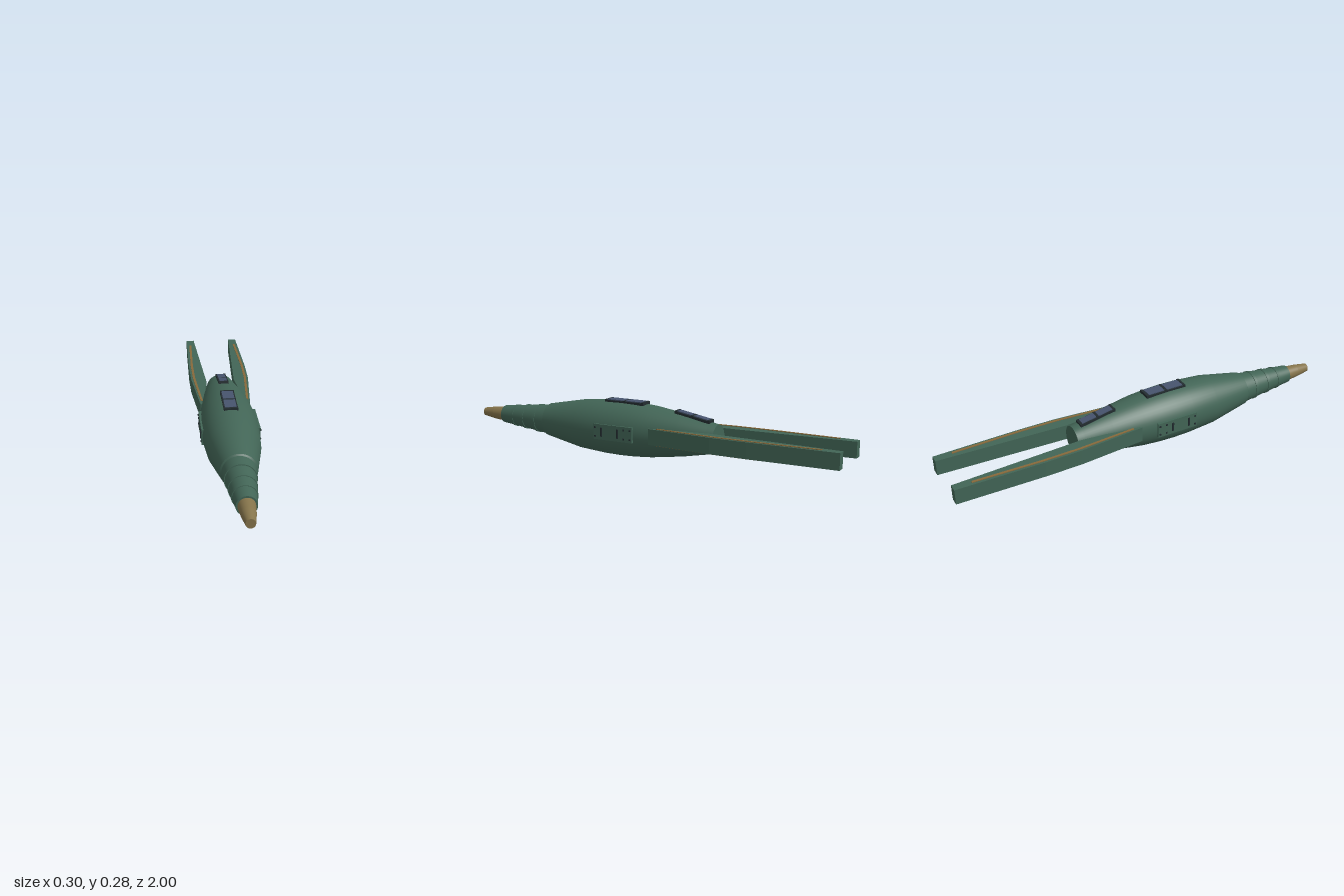
import * as THREE from 'three';

const AXIS = 0.136; // height of the hull's long axis

const mat = (name, color, extra) => {
  const m = new THREE.MeshStandardMaterial({ color });
  m.name = name;
  return m;
};

export function createModel() {
  const model = new THREE.Group();
  model.name = 'spacecraft';
  const green = mat('hull green', 0x426556);
  const brass = mat('nose brass', 0x85744b);
  const bronze = mat('stripe bronze', 0x866a3c);
  const dark = mat('frame dark', 0x232d30);
  const blue = mat('window blue', 0x47546e);

  const add = (name, geometry, material, parent = model) => {
    const mesh = new THREE.Mesh(geometry, material);
    mesh.name = name;
    parent.add(mesh);
    return mesh;
  };
  const box = (name, size, pos, material, parent) => {
    const mesh = add(name, new THREE.BoxGeometry(...size), material, parent);
    mesh.position.set(...pos);
    return mesh;
  };

  // Revolved part from [z, radius] pairs; every corner is doubled when sharp
  const revolve = (name, profile, material, sharp) => {
    const pts = [];
    for (const [z, r] of profile) {
      pts.push(new THREE.Vector2(r, z));
      if (sharp) pts.push(new THREE.Vector2(r, z));
    }
    const geo = new THREE.LatheGeometry(pts, 48).rotateX(Math.PI / 2);
    add(name, geo, material).position.y = AXIS;
  };

  // Main hull, with a flat stern
  revolve('hull', [[-0.34, 0.075], [-0.2, 0.102], [-0.04, 0.125], [0.05, 0.132],
    [0.13, 0.1345], [0.22, 0.133], [0.36, 0.123], [0.57, 0.083]], green, false);
  revolve('stern', [[-0.375, 0], [-0.375, 0.069], [-0.34, 0.075]], green, true);

  // Stepped neck: each collar starts with a small ledge
  revolve('neck', [[0.57, 0.083], [0.575, 0.076], [0.63, 0.07], [0.63, 0.073],
    [0.645, 0.072], [0.645, 0.068], [0.71, 0.061], [0.71, 0.064], [0.725, 0.063],
    [0.725, 0.06], [0.78, 0.054], [0.78, 0.057], [0.795, 0.055], [0.795, 0.052],
    [0.865, 0.045], [0.865, 0]], green, true);
  revolve('nose', [[0.86, 0.038], [0.93, 0.032], [1, 0.021], [1, 0]], brass, true);

  // Dark-framed window pairs on the spine
  const spineWindow = (name, z, top, tilt, width, length) => {
    const g = new THREE.Group();
    g.name = name;
    g.position.set(0, top, z);
    g.rotation.x = tilt;
    model.add(g);
    box('windowFrame', [width, 0.012, length], [0, -0.003, 0], dark, g);
    for (const s of [-1, 1]) {
      box('windowPane', [width - 0.012, 0.008, length * 0.4],
        [0, 0.003, s * length * 0.235], blue, g);
    }
    for (const s of [-1, 0, 1]) {
      box('windowBar', [width, 0.006, 0.012], [0, 0.003, s * (length / 2 - 0.006)], dark, g);
    }
  };
  spineWindow('frontWindow', 0.115, 0.271, 0, 0.066, 0.215);
  spineWindow('rearWindow', -0.25, 0.233, -0.175, 0.05, 0.185);

  for (const s of [1, -1]) {
    const side = s > 0 ? 'left' : 'right';

    // Flat service panel with slots and bolts
    box(side + 'SidePanel', [0.02, 0.075, 0.215], [s * 0.127, AXIS, 0.118], green);
    for (const z of [0.09, 0.18]) {
      box(side + 'PanelSlot', [0.006, 0.044, 0.01], [s * 0.138, AXIS, z], dark);
    }
    for (const z of [0.02, 0.055, 0.215]) {
      for (const y of [-0.022, 0.022]) {
        box(side + 'PanelBolt', [0.005, 0.008, 0.008], [s * 0.1385, AXIS + y, z], dark);
      }
    }

    // Horizontal outline in [x, z], raised from y0 by a height
    const slab = (name, outline, y0, height, material) => {
      const shape = new THREE.Shape(outline.map(([x, z]) => new THREE.Vector2(s * x, -z)));
      const geo = new THREE.ExtrudeGeometry(shape, { depth: height, bevelEnabled: false });
      add(name, geo.rotateX(-Math.PI / 2), material).position.y = y0;
    };

    // Long rear boom, widest beside the stern
    slab(side + 'Boom', [[0.105, -0.07], [0.122, -0.07], [0.149, -0.4], [0.151, -0.58],
      [0.142, -1], [0.101, -1], [0.072, -0.37]], 0.099, 0.076, green);

    // Bronze stripe along the boom's top and underside
    const stripe = [[0.107, -0.11], [0.118, -0.11], [0.139, -0.4], [0.141, -0.58],
      [0.131, -0.915], [0.119, -0.915], [0.129, -0.58], [0.127, -0.4]];
    slab(side + 'TopStripe', stripe, 0.174, 0.004, bronze);
    slab(side + 'BottomStripe', stripe, 0.096, 0.004, bronze);
  }

  return model;
}
